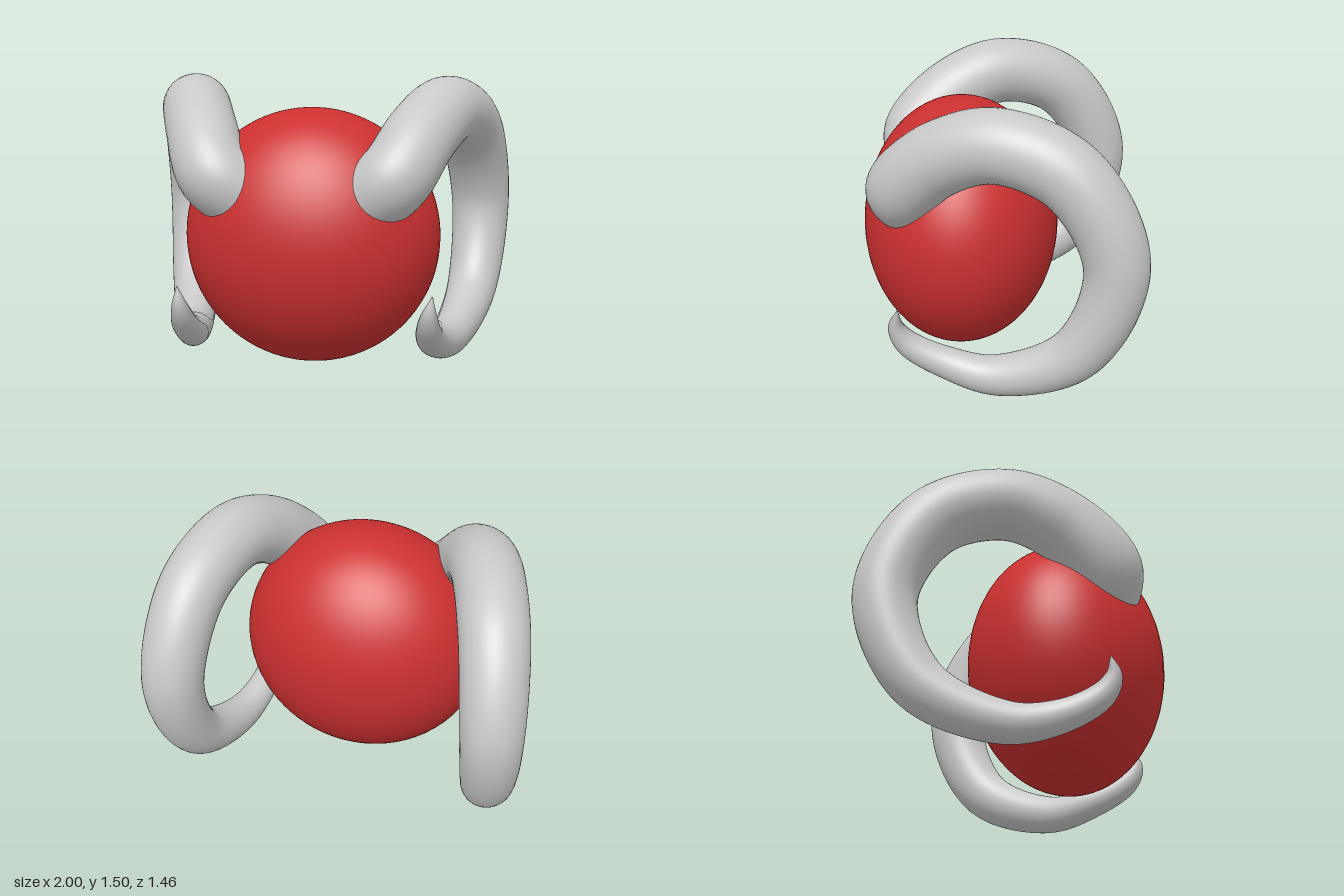
import * as THREE from 'three';

const red = new THREE.MeshStandardMaterial({ color: 0xcc3030 });
red.name = 'red';
const grey = new THREE.MeshStandardMaterial({ color: 0xc8c8c8 });
grey.name = 'light grey';

// Horn centreline from the root inside the ball to the tip: x, y, z, radius
const HORN = [
  [0.26, 0.88, 0.40, 0.185],
  [0.37, 0.95, 0.46, 0.19],
  [0.46, 1.03, 0.475, 0.19],
  [0.575, 1.225, 0.28, 0.187],
  [0.68, 1.322, 0.0, 0.183],
  [0.785, 1.195, -0.355, 0.177],
  [0.84, 0.77, -0.57, 0.162],
  [0.81, 0.295, -0.395, 0.138],
  [0.715, 0.108, 0.0, 0.105],
  [0.655, 0.143, 0.26, 0.083],
  [0.64, 0.245, 0.46, 0.066],
  [0.645, 0.34, 0.518, 0.043],
  [0.66, 0.44, 0.508, 0.002],
];

// Tapered tube: each ring of a unit tube is scaled to the local radius
function hornGeometry(side) {
  const path = new THREE.CatmullRomCurve3(HORN.map(([x, y, z]) => new THREE.Vector3(side * x, y, z)));
  const radii = new THREE.CatmullRomCurve3(
    HORN.map(([, , , r], i) => new THREE.Vector3(r, i, 0)), false, 'catmullrom', 0.5);
  const rings = 160, sides = 40;
  const geometry = new THREE.TubeGeometry(path, rings, 1, sides, false);
  const pos = geometry.attributes.position;
  const v = new THREE.Vector3();
  for (let i = 0; i <= rings; i++) {
    const centre = path.getPointAt(i / rings);
    const radius = Math.max(0.002, radii.getPoint(path.getUtoTmapping(i / rings)).x);
    for (let j = 0; j <= sides; j++) {
      const k = i * (sides + 1) + j;
      v.fromBufferAttribute(pos, k).sub(centre).multiplyScalar(radius).add(centre);
      pos.setXYZ(k, v.x, v.y, v.z);
    }
  }
  return geometry;
}

export function createModel() {
  const model = new THREE.Group();
  model.name = 'hornedBall';

  // Ball, flattened front to back
  const ball = new THREE.Mesh(new THREE.SphereGeometry(1, 64, 48), red);
  ball.name = 'ball';
  ball.scale.set(0.672, 0.672, 0.523);
  ball.position.set(0, 0.677, 0.21);
  model.add(ball);

  // Mirrored pair of curled horns
  for (const side of [1, -1]) {
    const horn = new THREE.Mesh(hornGeometry(side), grey);
    horn.name = side > 0 ? 'leftHorn' : 'rightHorn';
    model.add(horn);
  }
  return model;
}
